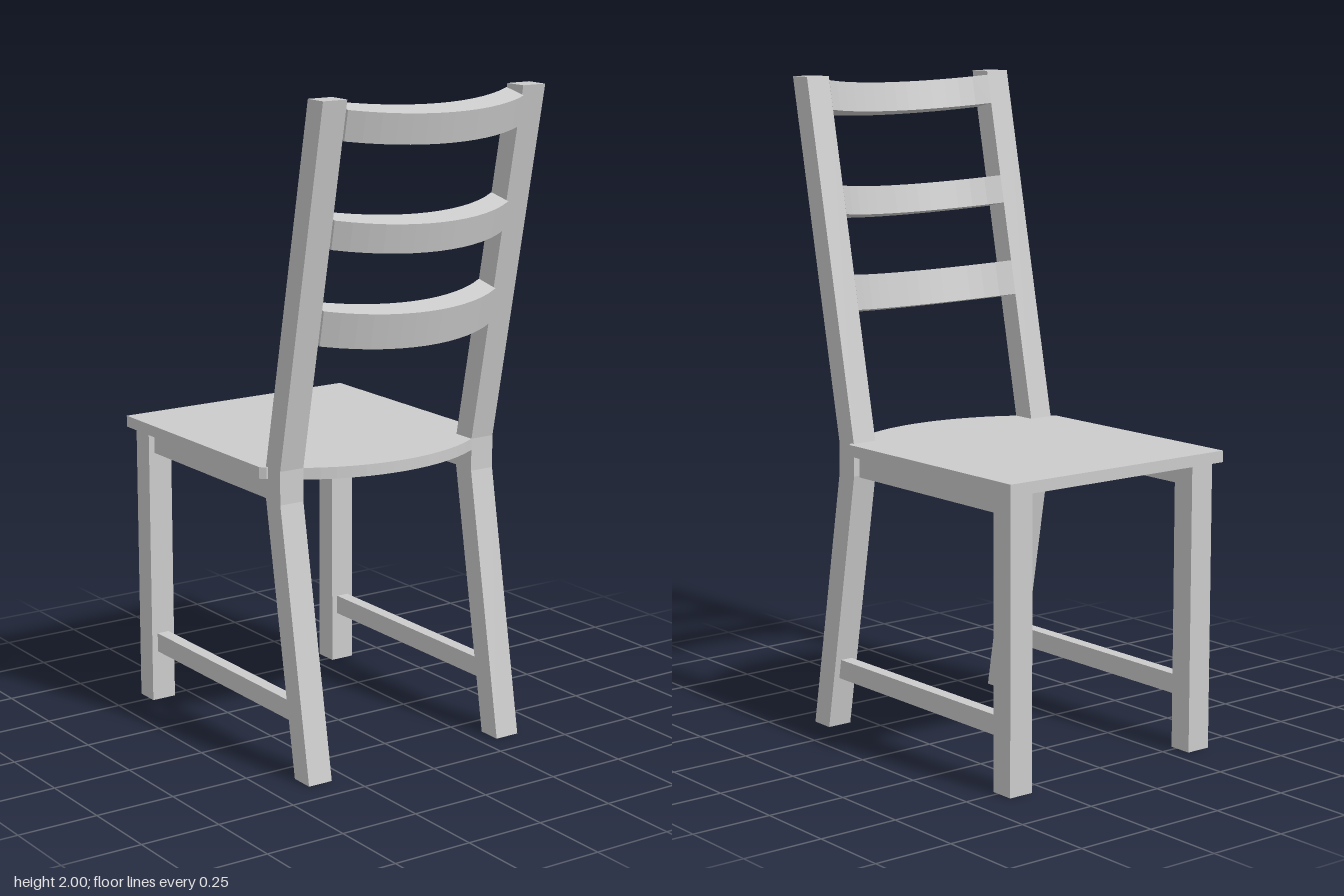
import * as THREE from 'three';

const material = new THREE.MeshStandardMaterial({ color: 0xcccccc });
const LEG_X = 0.345, LEG_W = 0.08, INNER_X = 0.305;
const SLOPE = 0.205; // backward lean of the upper posts

function add(group, name, geometry) {
  const mesh = new THREE.Mesh(geometry, material);
  mesh.name = name;
  group.add(mesh);
  return mesh;
}

function extrude(shape, depth) {
  return new THREE.ExtrudeGeometry(shape, { depth, bevelEnabled: false, curveSegments: 14 });
}

// Box given by its y and z ranges, centred on x
function beam(x, width, y0, y1, z0, z1) {
  return new THREE.BoxGeometry(width, y1 - y0, z1 - z0).translate(x, (y0 + y1) / 2, (z0 + z1) / 2);
}

// Points of a shallow arc from x = -half to x = half
function arc(half, endZ, bow, steps = 14) {
  const r = (half * half + bow * bow) / (2 * bow);
  return Array.from({ length: steps + 1 }, (_, i) => {
    const x = -half + (2 * half * i) / steps;
    return new THREE.Vector2(x, endZ + bow - r + Math.sqrt(r * r - x * x));
  });
}

export function createModel() {
  const chair = new THREE.Group();
  chair.name = 'chair';

  // Seat: notched round the rear posts, with a curved back edge
  const seat = new THREE.Shape([
    [0.405, -0.58], [0.405, 0.185], [0.39, 0.2], [INNER_X, 0.2],
  ].map(([x, z]) => new THREE.Vector2(x, z)).concat(
    arc(INNER_X, 0.265, 0.087).reverse(),
    [[-INNER_X, 0.2], [-0.39, 0.2], [-0.405, 0.185], [-0.405, -0.58]].map(([x, z]) => new THREE.Vector2(x, z)),
  ));
  add(chair, 'seat', extrude(seat, 0.035).rotateX(Math.PI / 2).translate(0, 0.915, 0));

  // Rear post profile, as z and y
  const post = new THREE.Shape([
    [0.335, 0], [0.41, 0], [0.265, 0.815], [0.265, 0.915],
    [0.487, 2], [0.413, 2], [0.19, 0.915], [0.19, 0.815],
  ].map(([z, y]) => new THREE.Vector2(z, y)));

  for (const [side, s] of [['left', 1], ['right', -1]]) {
    const x = s * LEG_X;
    add(chair, side + 'RearPost',
      extrude(post, LEG_W).rotateY(-Math.PI / 2).translate(x + LEG_W / 2, 0, 0));
    add(chair, side + 'FrontLeg', beam(x, LEG_W, 0, 0.88, -0.555, -0.48));
    add(chair, side + 'SeatRail', beam(x, 0.04, 0.81, 0.88, -0.5, 0.2));
    add(chair, side + 'Stretcher', beam(x, 0.04, 0.16, 0.22, -0.5, 0.33));
  }

  // Bowed back slats, square to the leaning posts
  const slats = [
    { y: 1.305, height: 0.107, bow: 0.093 },
    { y: 1.59, height: 0.087, bow: 0.097 },
    { y: 1.9, height: 0.09, bow: 0.086 },
  ];
  slats.forEach(({ y, height, bow }, i) => {
    const outline = arc(INNER_X, 0, bow).concat(arc(INNER_X, 0.082, bow).reverse());
    const slat = add(chair, 'backSlat' + (i + 1),
      extrude(new THREE.Shape(outline), height).rotateX(Math.PI / 2).translate(0, height, 0));
    slat.position.set(0, y, 0.19 + (y - 0.915) * SLOPE);
    slat.rotation.x = Math.atan(SLOPE);
  });

  return chair;
}
